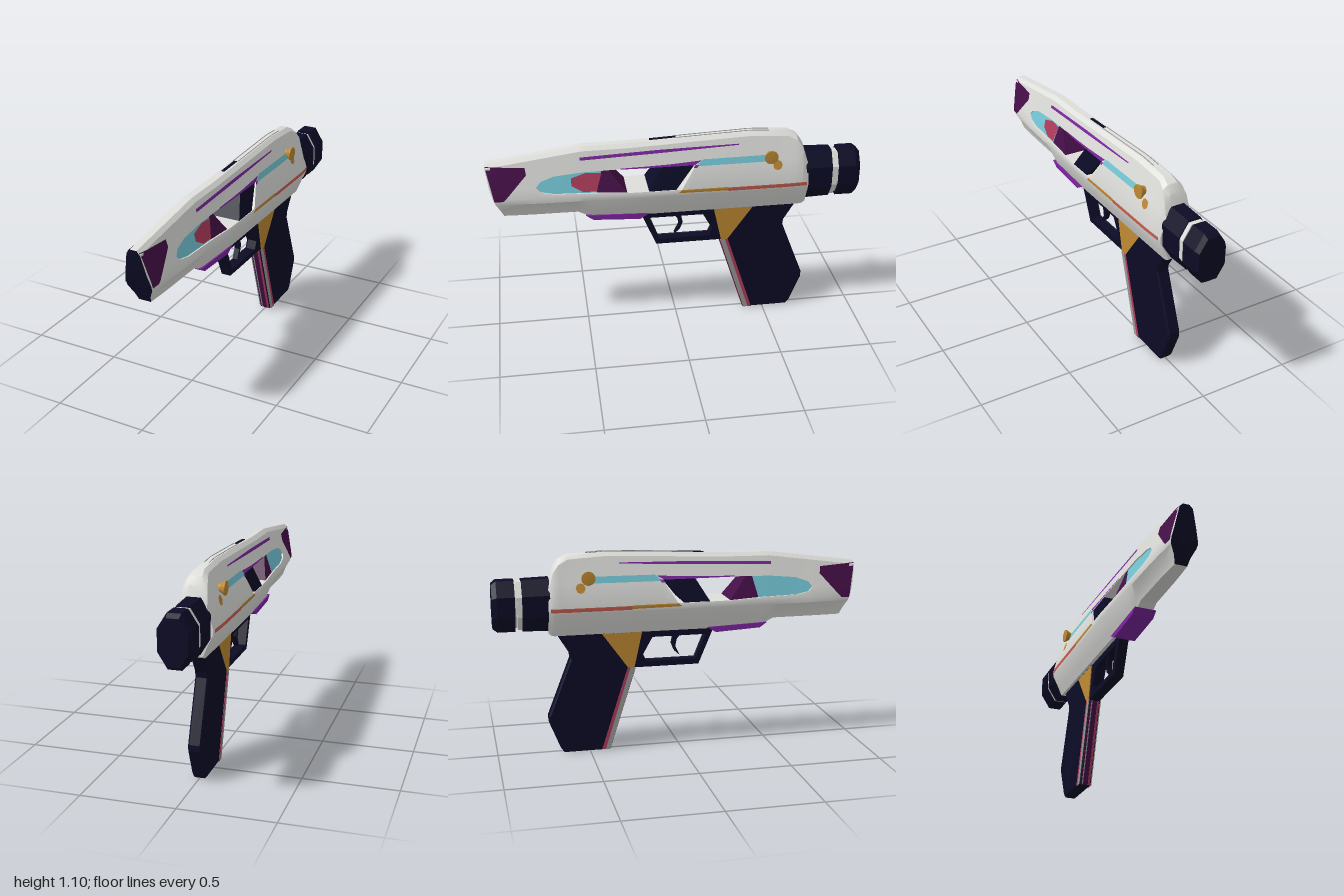
import * as THREE from 'three';
import { toCreasedNormals } from 'three/addons/utils/BufferGeometryUtils.js';

const material = (name, color) => {
  const m = new THREE.MeshStandardMaterial({ color, side: THREE.DoubleSide });
  m.name = name;
  return m;
};

// piecewise linear lookup in a list of [key, value]
function look(table, v) {
  if (v <= table[0][0]) return table[0][1];
  for (let i = 1; i < table.length; i++) {
    const [a, p] = table[i - 1], [b, q] = table[i];
    if (v <= b) return p + (q - p) * (v - a) / (b - a);
  }
  return table[table.length - 1][1];
}

// body profile along z
const TOP = [[-.71, .93], [-.695, .97], [-.68, 1.02], [-.65, 1.06], [-.6, 1.085], [-.4, 1.097], [-.1, 1.085], [.25, 1.07], [.5, 1.068], [1, 1]];
const BOTTOM = [[-.71, .675], [-.69, .66], [.45, .66], [.53, .7], [1, .7]];
const WIDTH = [[-.71, .1], [-.68, .107], [.2, .107], [.3, .1], [.8, .085], [1, .07]];
const CREST = [[-.71, .07], [-.6, .042], [.5, .04], [1, .036]];
const WIN_LOW = [[-.1, .945], [-.02, .82], [.27, .82], [.45, .828], [.65, .832], [.72, .845], [.745, .87]];
const WIN_HIGH = [[-.1, .945], [.27, .945], [.5, .94], [.65, .925], [.72, .9], [.745, .87]];
const NOSE = [[.7, .08], [.8, .035], [.93, 0]];
const STATIONS = [-.71, -.695, -.68, -.65, -.6, -.4, -.1, -.06, -.02, .12, .27, .4, .45, .5, .53, .65, .69, .72, .735, .745, .85, 1];

// half section as [y, half width], bottom to top
function section(z) {
  const t = look(TOP, z), b = look(BOTTOM, z), w = look(WIDTH, z), c = look(CREST, z);
  return [[b, w * .47], [b + .04, w * .63], [.785, w * .97], [.815, w], [t - .02, c], [t, c * .5]];
}
const sideX = (z, y) => look(section(z), y);

function ring(z) {
  const s = section(z), shoulder = s[4][0];
  for (const table of [WIN_LOW, WIN_HIGH]) {
    const y = Math.min(look(table, z), shoulder);
    s.splice(table === WIN_LOW ? 4 : 5, 0, [y, sideX(z, y)]);
  }
  const slant = Math.max(0, (z - .8) / .2);
  const half = s.reverse().map(([y, x]) => new THREE.Vector3(x, y, z - slant * look(NOSE, y)));
  return [...half, ...half.slice().reverse().map(p => new THREE.Vector3(-p.x, p.y, p.z))];
}

function soup(points, crease = .45) {
  const g = new THREE.BufferGeometry().setFromPoints(points);
  g.computeVertexNormals();
  return toCreasedNormals(g, crease);
}

export function createModel() {
  const group = new THREE.Group();
  const white = material('white shell', 0xdededb), navy = material('navy', 0x0c0b26);
  const plum = material('dark plum', 0x460f48), purple = material('purple', 0x7d26a0);
  const cyan = material('cyan', 0x74c7d6), gold = material('gold', 0xbf8a32);
  const coral = material('coral', 0xcd6051), pink = material('rose', 0xb03c5c);
  const grey = material('grey', 0x9a9a9a);

  const add = (name, geometry, mat) => {
    const mesh = new THREE.Mesh(geometry, mat);
    mesh.name = name;
    group.add(mesh);
    return mesh;
  };

  // shape in the z-y plane, extruded across x
  const slab = (name, mat, pts, width, bevel = 0, hole = null, x = 0) => {
    const shape = new THREE.Shape(pts.map(p => new THREE.Vector2(...p)));
    if (hole) shape.holes.push(new THREE.Path(hole.map(p => new THREE.Vector2(...p))));
    const depth = width - 2 * bevel;
    const g = new THREE.ExtrudeGeometry(shape, {
      depth, bevelEnabled: bevel > 0, bevelSize: bevel, bevelThickness: bevel, bevelOffset: -bevel, bevelSegments: 1 });
    g.translate(0, 0, -depth / 2).rotateY(-Math.PI / 2).translate(x, 0, 0);
    return add(name, g, mat);
  };

  // columns [zLow, yLow, zHigh, yHigh] wrapped on the body flanks
  const wrap = (name, mat, cols, offset, sides = [1, -1], solid = false) => {
    const n = (cols.length - 1) * 4;
    for (const s of sides) {
      const g = solid ? new THREE.BoxGeometry(2, 1, 1, 1, 6, n) : new THREE.PlaneGeometry(1, 1, n, 6);
      const p = g.attributes.position;
      for (let i = 0; i < p.count; i++) {
        const u = ((solid ? p.getZ(i) : p.getX(i)) + .5) * (cols.length - 1), v = p.getY(i) + .5;
        const k = Math.min(Math.floor(u), cols.length - 2);
        const c = cols[k].map((a, j) => a + (cols[k + 1][j] - a) * (u - k));
        const z = c[0] + (c[2] - c[0]) * v, y = c[1] + (c[3] - c[1]) * v;
        p.setXYZ(i, (solid ? p.getX(i) : s) * (sideX(z, y) + offset), y, z);
      }
      g.computeVertexNormals();
      add(name, g, mat);
    }
  };

  // shell with an open window running through it
  const rings = STATIONS.map(ring), shell = [], last = rings.length - 1;
  const quad = (a, b, c, d) => shell.push(a, b, c, a, c, d);
  for (let i = 0; i < last; i++) {
    const r = rings[i], q = rings[i + 1];
    for (let j = 0; j < 16; j++) {
      const k = (j + 1) % 16;
      if (j !== 2 && j !== 12) quad(r[j], q[j], q[k], r[k]);
    }
    if (r[2].y - r[3].y + q[2].y - q[3].y > .001) {
      quad(r[2], q[2], q[13], r[13]);
      quad(r[3], r[12], q[12], q[3]);
    }
  }
  const rear = new THREE.Vector3(0, .82, -.71), tip = new THREE.Vector3(0, .88, .99), nose = [];
  for (let j = 0; j < 16; j++) {
    const k = (j + 1) % 16;
    shell.push(rear, rings[0][j], rings[0][k]);
    nose.push(tip, rings[last][k], rings[last][j]);
  }
  add('bodyShell', soup(shell), white);
  add('noseFace', soup(nose), navy);

  // panels inside the window
  const winCol = z => [z, look(WIN_LOW, z), z, look(WIN_HIGH, z)];
  wrap('windowGlass', cyan, [[.43, .828, .4, .943], ...[.5, .58, .65, .69, .72, .735, .744].map(winCol)], -.007, [1], true);
  wrap('windowWedge', plum, [[.27, .82, .365, .944], [.43, .828, .4, .943]], -.007, [1], true);
  wrap('windowStrut', navy, [[.01, .821, -.09, .944], [.155, .821, .08, .944]], -.002, [1], true);
  wrap('windowRosePatch', pink, [[.43, .835, .4, .93], [.5, .835, .48, .935], [.56, .87, .56, .91]], -.004, [1]);

  // painted flank markings
  wrap('noseMarking', plum, [[.9, .82, .79, .94], [.915, .805, .795, .978], [.962, .803, .998, .99]], .003);
  wrap('upperStripe', purple, [[-.33, 1.036, -.33, 1.042], [.1, 1.017, .1, 1.034], [.51, 1.002, .51, 1.018]], .003);
  wrap('windowTrim', purple, [[-.09, .944, -.13, .967], [.05, .944, .05, .956], [.3, .944, .3, .949]], .003);
  wrap('windowRearTrim', purple, [[-.105, .93, -.115, .945], [-.085, .93, -.095, .945]], .003);
  wrap('cyanStripe', cyan, [[-.5, .94, -.5, .975], [-.1, .938, -.14, .972]], .003);
  wrap('goldStripe', gold, [[-.27, .8, -.27, .82], [0, .803, -.02, .82]], .004);
  wrap('coralStripe', coral, [[-.7, .796, -.7, .817], [-.27, .796, -.27, .817]], .004);
  wrap('goldSpot', gold, [-1, -.7, 0, .7, 1].map(c => {
    const h = .027 * Math.sqrt(1 - c * c);
    return [-.54 + .026 * c, .917 - h, -.54 + .026 * c, .917 + h];
  }), .003);

  // flared side knobs
  const knob = [[.022, .055], [.024, .075], [.037, .094], [.037, .101], [0, .104]].map(p => new THREE.Vector2(...p));
  for (const s of [1, -1]) {
    const g = new THREE.LatheGeometry(knob, 24).rotateZ(-s * Math.PI / 2).translate(0, .97, -.5);
    add('sideKnob', toCreasedNormals(g, .5), gold);
  }

  // sight groove on the crest
  const crestStrip = (name, mat, z0, z1, x, w) => {
    const g = new THREE.BoxGeometry(w, .006, z1 - z0, 1, 1, 12).translate(x, 0, (z0 + z1) / 2);
    const p = g.attributes.position;
    for (let i = 0; i < p.count; i++) p.setY(i, p.getY(i) + look(TOP, p.getZ(i)));
    g.computeVertexNormals();
    add(name, g, mat);
  };
  for (const s of [1, -1]) crestStrip('sightGrooveEdge', grey, -.5, 0, s * .013, .003);
  crestStrip('sightPatch', navy, 0, .14, 0, .018);

  // rear barrel: faceted sleeves along z
  const sleeve = (name, mat, z0, z1, hx, hy, r0 = 1, r1 = 1) => {
    const f = 1 / Math.cos(Math.PI / 8);
    const g = new THREE.CylinderGeometry(r1 * f, r0 * f, z0 - z1, 8).rotateY(Math.PI / 8).rotateX(-Math.PI / 2);
    g.scale(hx, hy, 1).translate(0, .828, (z0 + z1) / 2);
    add(name, toCreasedNormals(g, .3), mat);
  };
  sleeve('rearSleeve', navy, -.7, -.845, .086, .139, 1.01, .98);
  sleeve('rearCollar', white, -.84, -.87, .08, .128);
  sleeve('rearNeck', white, -.865, -.89, .072, .118);
  sleeve('rearCap', navy, -.882, -.975, .086, .136);
  sleeve('rearCapEnd', navy, -.975, -1, .086, .136, 1, .86);

  // underside plate, trigger guard and trigger
  slab('undersidePlate', purple, [[.49, .68], [.45, .652], [.2, .638], [.15, .668]], .12);
  slab('triggerGuard', navy, [[.2, .67], [.11, .457], [-.25, .457], [-.22, .67]], .06, .004,
    [[.155, .627], [.098, .485], [-.185, .485], [-.205, .53], [-.15, .627]]);
  slab('trigger', navy, [[.02, .64], [-.01, .6], [-.018, .56], [.008, .508], [-.022, .535], [-.038, .575], [-.025, .64]], .03);

  // grip with painted flanks and front edge
  slab('grip', navy, [[-.2, .67], [-.245, .455], [-.39, 0], [-.64, 0], [-.66, .025], [-.72, .175], [-.72, .21],
    [-.597, .525], [-.6, .555], [-.67, .67]], .07, .008);
  for (const s of [1, -1]) {
    const x = s * .0352;
    slab('gripTriangle', gold, [[-.206, .656], [-.25, .46], [-.285, .46], [-.425, .656]], .003, 0, null, x);
    slab('gripGreyStripe', grey, [[-.244, .46], [-.39, .003], [-.415, .003], [-.272, .46]], .003, 0, null, x);
    slab('gripRoseStripe', pink, [[-.272, .46], [-.415, .003], [-.435, .003], [-.288, .46]], .003, 0, null, x);
  }
  const edge = [[-.242, .455], [-.387, .003], [-.393, .003], [-.248, .455]];
  slab('gripFrontStrip', plum, edge, .056);
  slab('gripFrontLine', pink, edge.map(([z, y]) => [z + .002, y]), .012, 0, null, .02);
  slab('gripFrontLine', grey, edge.map(([z, y]) => [z + .002, y]), .006, 0, null, -.018);

  return group;
}
